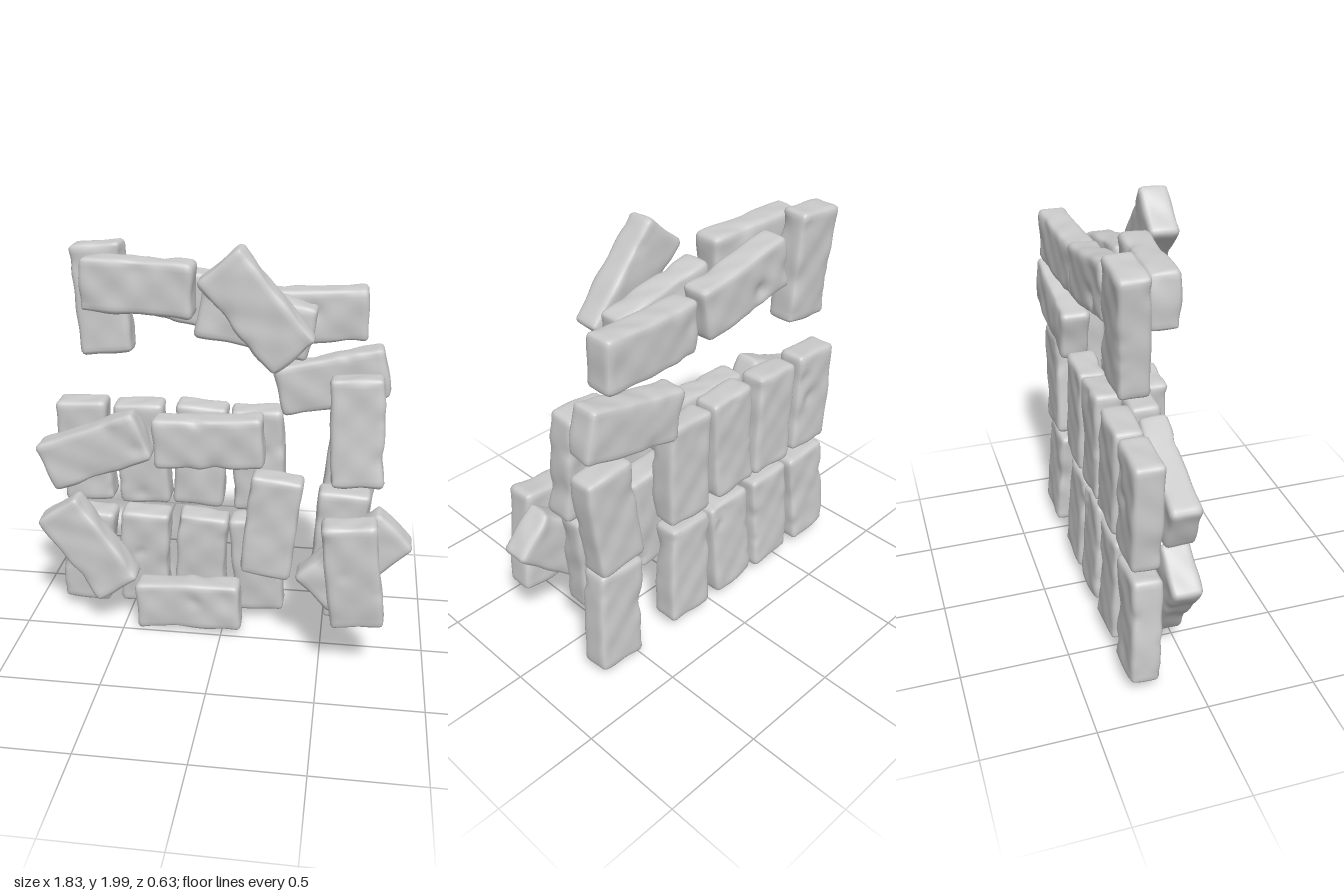
import * as THREE from 'three';
import { mergeVertices } from 'three/addons/utils/BufferGeometryUtils.js';

const W = 0.25, L = 0.525, D = 0.138, R = 0.024;

// Each brick: centre x, y, z, lean in degrees (0 = upright), forward tilt, turn
const LAYERS = {
  backWallBrick: [
    // upper row
    [-0.70, 0.91, -0.217, 3, 0.03], [-0.415, 0.91, -0.217, 2, 0.03],
    [-0.125, 0.915, -0.217, -3, 0.03], [0.16, 0.905, -0.217, 2, 0.03],
    [0.61, 0.87, -0.217, -5, 0.03],
    // lower row
    [-0.71, 0.325, -0.225, -4, 0.05], [-0.415, 0.33, -0.225, -2, 0.05],
    [-0.125, 0.33, -0.225, -4, 0.05], [0.16, 0.33, -0.225, 3, 0.05],
    [0.605, 0.325, -0.225, 5, 0.05],
    // top of the wall
    [-0.593, 1.672, -0.24, 6, -0.03], [-0.165, 1.70, -0.228, 80, 0],
    [0.392, 1.632, -0.228, 92, 0, -0.04], [0.503, 1.312, -0.24, 102, 0],
  ],
  middleBrick: [
    [-0.39, 1.772, -0.085, 88, 0, 0.06], [0.155, 1.638, -0.07, 79, 0],
    [0.63, 1.117, -0.083, 3, -0.07], [-0.622, 0.96, -0.08, 113, 0],
    [-0.065, 1.037, -0.07, 93, 0], [0.24, 0.617, -0.07, -7, 0],
    [-0.672, 0.435, -0.07, 35, 0], [-0.17, 0.148, -0.073, 93, 0],
    [0.572, 0.565, -0.065, -3, 0],
  ],
  frontBrick: [
    [0.175, 1.725, 0.095, 41, 0], [0.643, 0.547, 0.09, -46, 0],
  ],
  foremostBrick: [
    [0.645, 0.547, 0.24, 6, 0.03],
  ],
};

// Worn brick: rounded edges, uneven faces and soft chips along the rims
function brickGeometry(seed) {
  let s = seed * 7919 + 17;
  const rnd = () => (s = (s * 16807) % 2147483647) / 2147483647;
  for (let i = 0; i < 5; i++) rnd();
  let g = new THREE.BoxGeometry(W, L, D, 13, 26, 8);
  g.deleteAttribute('uv');
  g.deleteAttribute('normal');
  g = mergeVertices(g, 1e-4);
  const half = new THREE.Vector3(W / 2, L / 2, D / 2);
  const inner = half.clone().subScalar(R);
  const phase = Array.from({ length: 6 }, () => rnd() * 6.28);
  // dents sit near the rim of the broad faces
  const dents = Array.from({ length: 9 }, () => {
    const side = rnd() < 0.5 ? -1 : 1, face = rnd() < 0.5 ? -1 : 1;
    const c = rnd() < 0.65
      ? new THREE.Vector3(side * half.x, (rnd() * 2 - 1) * half.y, face * half.z)
      : new THREE.Vector3((rnd() * 2 - 1) * half.x, side * half.y * rnd(), face * half.z);
    return { c, r: 0.025 + 0.035 * rnd(), depth: 0.005 + 0.008 * rnd() };
  });
  const p = new THREE.Vector3(), q = new THREE.Vector3(), n = new THREE.Vector3();
  const pos = g.attributes.position;
  for (let i = 0; i < pos.count; i++) {
    p.fromBufferAttribute(pos, i);
    q.copy(p).clamp(inner.clone().negate(), inner);
    n.copy(p).sub(q).normalize();
    p.copy(q).addScaledVector(n, R);
    let push = 0.0025 * (Math.sin(p.x * 26 + phase[0]) * Math.sin(p.y * 19 + phase[1])
      + Math.sin(p.y * 33 + p.z * 25 + phase[2]) * Math.sin(p.x * 35 + p.z * 18 + phase[3]));
    for (const d of dents) push -= d.depth * Math.exp(-p.distanceToSquared(d.c) / (d.r * d.r));
    p.addScaledVector(n, push);
    // slightly crooked outline
    p.x += 0.004 * Math.sin(p.y * 9 + phase[4]);
    p.z += 0.003 * Math.sin(p.y * 8 + phase[5]);
    pos.setXYZ(i, p.x, p.y, p.z);
  }
  g.computeVertexNormals();
  return g;
}

export function createModel() {
  const model = new THREE.Group();
  model.name = 'brickPatch';
  const material = new THREE.MeshStandardMaterial({ color: 0xcccccc });
  let seed = 1;
  for (const [name, bricks] of Object.entries(LAYERS)) {
    const layer = new THREE.Group();
    layer.name = name + 's';
    bricks.forEach(([x, y, z, lean, tilt, turn = 0], i) => {
      const brick = new THREE.Mesh(brickGeometry(seed++), material);
      brick.name = `${name}${i + 1}`;
      brick.position.set(x, y, z);
      brick.rotation.set(tilt, -turn, THREE.MathUtils.degToRad(lean));
      layer.add(brick);
    });
    model.add(layer);
  }
  return model;
}
